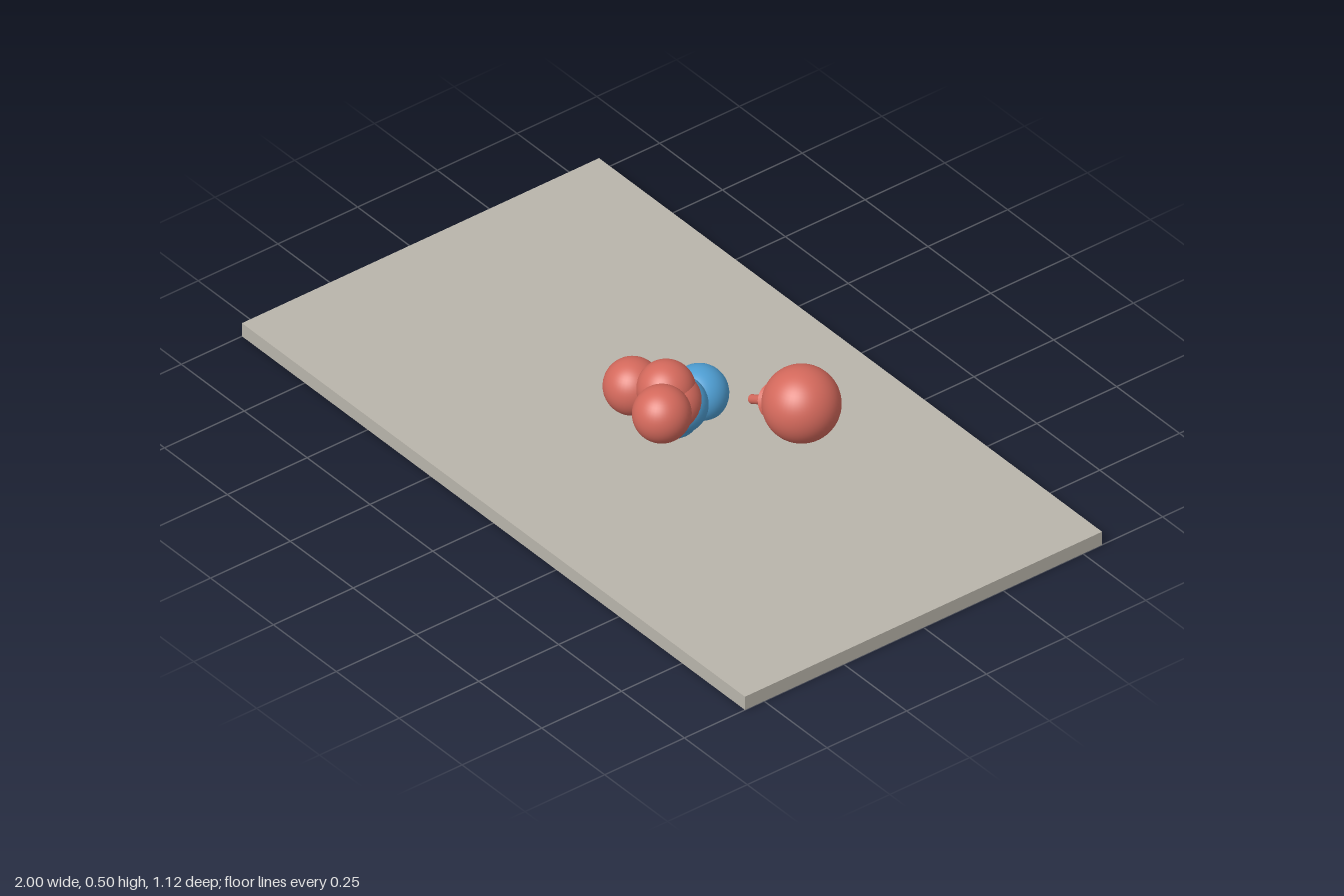
import * as THREE from 'three';

const material = (name, color) => {
  const m = new THREE.MeshStandardMaterial({ color });
  m.name = name;
  return m;
};

export function createModel() {
  const model = new THREE.Group();
  const stone = material('warm grey', 0xb9b5ab);
  const red = material('coral red', 0xd4695c);
  const blue = material('sky blue', 0x4f9fd4);

  const add = (name, geometry, mat, x, y, z) => {
    const mesh = new THREE.Mesh(geometry, mat);
    mesh.name = name;
    mesh.position.set(x, y, z);
    model.add(mesh);
    return mesh;
  };

  // Flat ground slab
  add('slab', new THREE.BoxGeometry(2, 0.04, 1.12), stone, 0, 0.02, 0);

  // Cluster of overlapping balls, partly sunk in the slab
  const ball = new THREE.SphereGeometry(0.074, 40, 28);
  const cluster = [
    [red, -0.1, 0.13, 0.045],
    [red, 0.066, 0.157, 0.084],
    [red, -0.006, 0.161, 0.014],
    [red, 0.014, 0.13, 0.008],
    [blue, -0.027, 0.082, -0.107],
    [blue, 0.01, 0.11, -0.013],
    [blue, -0.012, 0.08, -0.004],
  ];
  cluster.forEach(([mat, x, y, z], i) => add(`clusterBall${i + 1}`, ball, mat, x, y, z));

  // Large incoming ball
  add('incomingBall', new THREE.SphereGeometry(0.099, 48, 32), red, 0.515, 0.405, 0);

  // Arrow lying along the line to the large ball
  const arrow = new THREE.Group();
  arrow.name = 'arrow';
  arrow.position.set(0.318, 0.307, 0);
  arrow.rotation.z = Math.atan2(0.1, 0.2) - Math.PI / 2;
  const shaft = new THREE.Mesh(new THREE.CylinderGeometry(0.012, 0.012, 0.1, 24), red);
  shaft.name = 'arrowShaft';
  shaft.position.y = 0.05;
  const head = new THREE.Mesh(new THREE.ConeGeometry(0.047, 0.09, 32), red);
  head.name = 'arrowHead';
  head.position.y = 0.096 + 0.045;
  arrow.add(shaft, head);
  model.add(arrow);

  return model;
}
